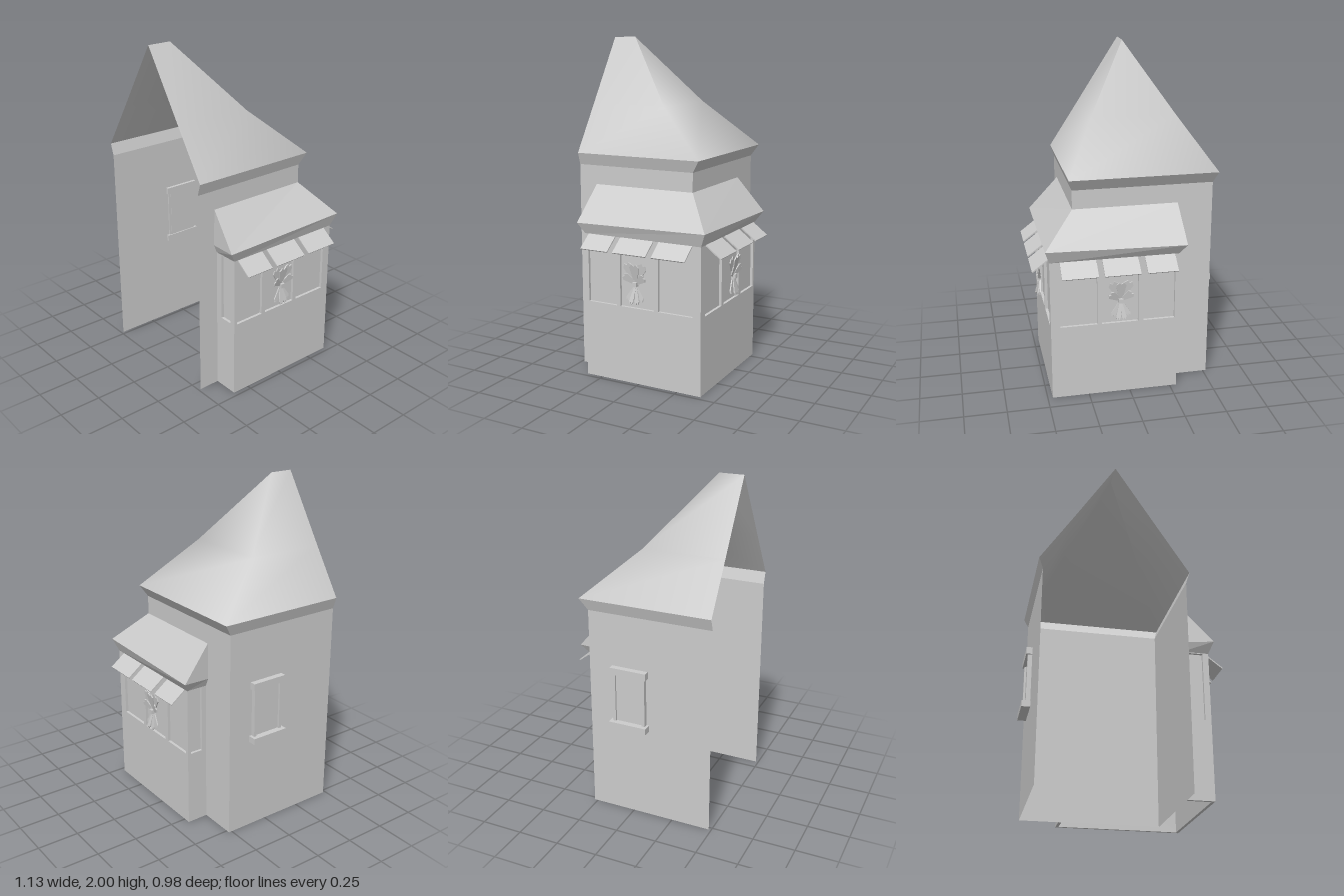
import * as THREE from 'three';

const grey = new THREE.MeshStandardMaterial({ color: 0xcccccc, side: THREE.DoubleSide });

function add(parent, name, geometry, x = 0, y = 0, z = 0) {
  const mesh = new THREE.Mesh(geometry, grey);
  mesh.name = name;
  mesh.position.set(x, y, z);
  parent.add(mesh);
  return mesh;
}

// Skin between rows of [x, y, z] points, listed from the bottom row up
function loft(rows, smooth = false) {
  const n = rows[0].length, index = [];
  for (let r = 0; r < rows.length - 1; r++) {
    for (let i = 0; i < n - 1; i++) {
      const a = r * n + i, b = a + n;
      index.push(a, a + 1, b + 1, a, b + 1, b);
    }
  }
  let g = new THREE.BufferGeometry();
  g.setAttribute('position', new THREE.Float32BufferAttribute(rows.flat(2), 3));
  g.setIndex(index);
  if (!smooth) g = g.toNonIndexed();
  g.computeVertexNormals();
  return g;
}

// Three-sided outline, open at the front
function uRow(y, left, right, back, ridgeFront = 0.485) {
  return [[right, y, ridgeFront], [right, y, back], [left, y, back], [left, y, ridgeFront]];
}

// Ribbon piece: narrow at the knot, flared with a notched end
function ribbon(length, width) {
  const s = new THREE.Shape();
  s.moveTo(-width * 0.15, 0);
  s.lineTo(width * 0.15, 0);
  s.lineTo(width * 0.5, length * 0.85);
  s.lineTo(width * 0.22, length);
  s.lineTo(0, length * 0.9);
  s.lineTo(-width * 0.22, length);
  s.lineTo(-width * 0.5, length * 0.85);
  s.closePath();
  return new THREE.ExtrudeGeometry(s, { depth: 0.007, bevelEnabled: false });
}

// Ornament of flared ribbons tied around a small knot
function makeBow() {
  const bow = new THREE.Group();
  bow.name = 'bow';
  const pieces = [ // angle in degrees, length, width, outward tilt
    [-24, 0.135, 0.06, 0.12], [0, 0.125, 0.06, 0.22], [24, 0.135, 0.06, 0.12],
    [-52, 0.09, 0.05, 0.3], [52, 0.09, 0.05, 0.3],
    [152, 0.11, 0.028, 0.1], [170, 0.12, 0.028, 0.25],
    [190, 0.12, 0.028, 0.2], [208, 0.11, 0.028, 0.1],
  ];
  for (const [angle, length, width, tilt] of pieces) {
    const m = add(bow, 'ribbon', ribbon(length, width), 0, 0, 0.008);
    m.rotation.order = 'ZXY';
    m.rotation.set(tilt, 0, THREE.MathUtils.degToRad(angle));
  }
  add(bow, 'knot', new THREE.BoxGeometry(0.026, 0.026, 0.03), 0, 0, 0.02);
  return bow;
}

const SILL = 0.46, HEAD = 0.865, BAY_TOP = 0.88;

// Bay wall from p to q ([x, z]) with recessed windows given as [start, end]
function bayWall(p, q, windows, shopFront) {
  const wall = new THREE.Group();
  wall.name = 'bayWall';
  const dx = q[0] - p[0], dz = q[1] - p[1], length = Math.hypot(dx, dz);
  wall.position.set(p[0], 0, p[1]);
  wall.rotation.y = Math.atan2(-dz, dx);

  const rect = (path, a, b, c, d) => {
    path.moveTo(a, c);
    path.lineTo(b, c);
    path.lineTo(b, d);
    path.lineTo(a, d);
    path.closePath();
    return path;
  };
  const shape = rect(new THREE.Shape(), 0, length, 0, BAY_TOP);
  windows.forEach(([a, b]) => shape.holes.push(rect(new THREE.Path(), a, b, SILL, HEAD)));
  add(wall, 'wallPanel', new THREE.ExtrudeGeometry(shape, { depth: 0.018, bevelEnabled: false }), 0, 0, -0.018);

  windows.forEach(([a, b], i) => {
    const mid = (a + b) / 2;
    add(wall, 'windowPane', new THREE.PlaneGeometry(b - a, HEAD - SILL), mid, (SILL + HEAD) / 2, -0.017);
    if (!shopFront) return;
    const awning = add(wall, 'awning', new THREE.BoxGeometry(b - a - 0.01, 0.007, 0.116), mid, 0.833, 0.045);
    awning.rotation.x = 0.65;
    if (i === 1) {
      const bow = makeBow();
      bow.position.set(mid, 0.61, -0.002);
      wall.add(bow);
    }
  });
  return wall;
}

export function createModel() {
  const model = new THREE.Group();
  model.name = 'cornerShop';

  // Tower walls, flared cornice and hipped roof
  const wallTop = uRow(1.25, -0.52, 0.315, -0.27);
  const eave = uRow(1.32, -0.543, 0.337, -0.315);
  add(model, 'mainWalls', loft([uRow(0, -0.52, 0.315, -0.27), wallTop]));
  add(model, 'cornice', loft([wallTop, eave]));
  add(model, 'mainRoof', loft([
    eave,
    uRow(1.6, -0.36, 0.155, 0),
    uRow(2, -0.103, -0.103, 0.34),
  ], true));

  // Bay wrapping the back corner
  const corners = [[0.315, 0.355], [0.47, 0.355], [0.47, -0.4], [-0.29, -0.4], [-0.29, -0.27]];
  const bays = [
    [[[0.04, 0.12]], false],
    [[[0.02, 0.21], [0.235, 0.46], [0.485, 0.705]], true],
    [[[0.055, 0.275], [0.3, 0.52], [0.55, 0.74]], true],
    [[[0.02, 0.1]], false],
  ];
  bays.forEach(([windows, shop], i) => model.add(bayWall(corners[i], corners[i + 1], windows, shop)));

  // Bay cove and lean-to roof
  const bayEave = [[0.315, 0.92, 0.375], [0.495, 0.933, 0.395], [0.495, 0.948, -0.433],
    [-0.33, 0.933, -0.441], [-0.312, 0.92, -0.27]];
  const bayRidge = [[0.315, 1.137, 0.37], [0.315, 1.137, 0.37], [0.315, 1.137, -0.27],
    [-0.31, 1.137, -0.27], [-0.31, 1.137, -0.27]];
  add(model, 'bayCove', loft([corners.map(([x, z]) => [x, 0.87, z]), bayEave]));
  add(model, 'bayRoof', loft([bayEave, bayRidge]));

  // Side window with sill, lintel and jambs
  const side = new THREE.Group();
  side.name = 'sideWindow';
  side.position.z = -0.0125;
  add(side, 'sill', new THREE.BoxGeometry(0.068, 0.038, 0.235), -0.537, 0.58, 0);
  add(side, 'lintel', new THREE.BoxGeometry(0.055, 0.042, 0.225), -0.528, 0.915, 0);
  add(side, 'pane', new THREE.BoxGeometry(0.024, 0.3, 0.17), -0.522, 0.747, 0);
  for (const s of [-1, 1]) {
    add(side, 'jamb', new THREE.BoxGeometry(0.034, 0.3, 0.018), -0.529, 0.747, s * 0.092);
  }
  model.add(side);
  return model;
}
